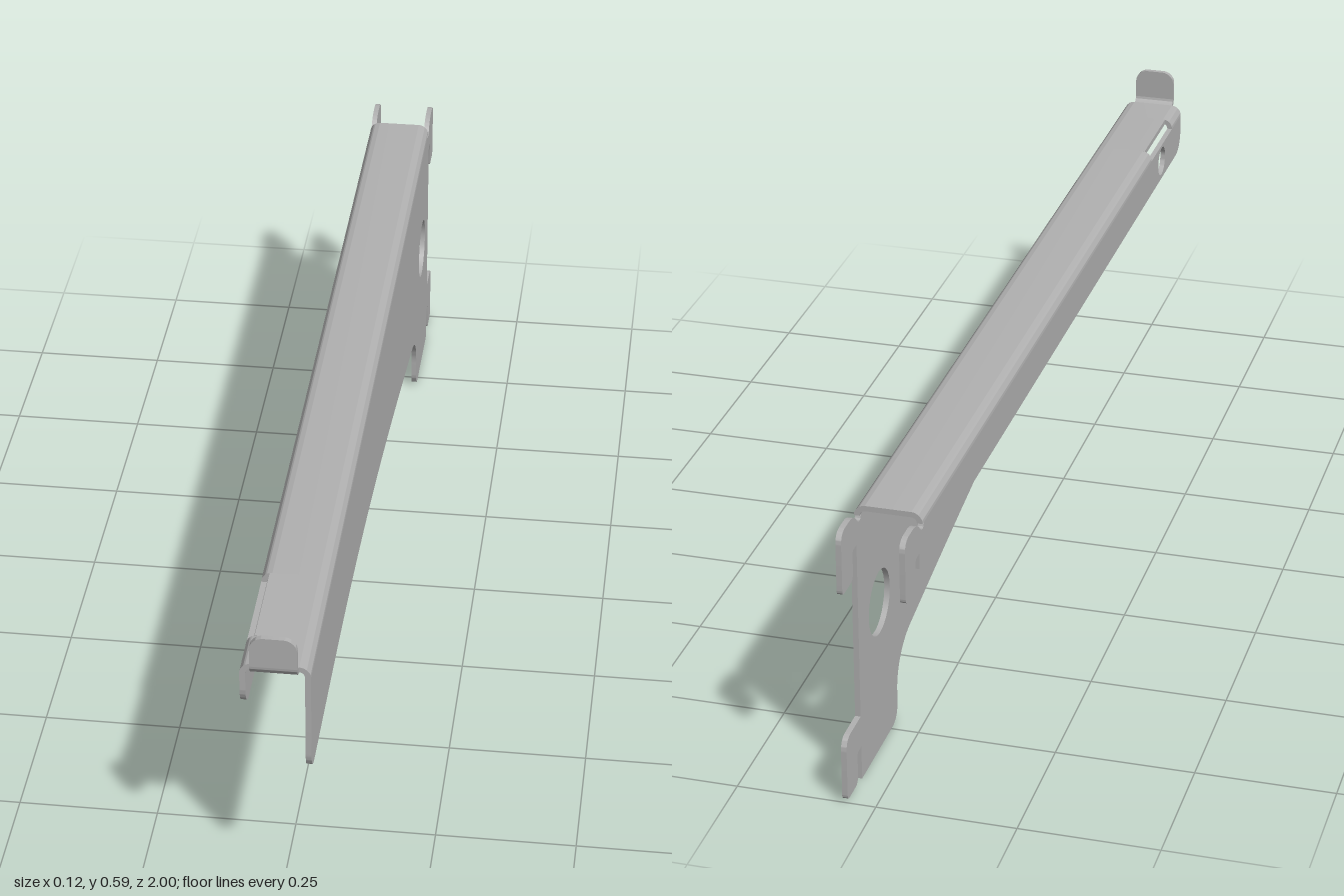
import * as THREE from 'three';
import { toCreasedNormals } from 'three/addons/utils/BufferGeometryUtils.js';

const T = 0.01; // sheet thickness
const steel = new THREE.MeshStandardMaterial({ color: 0xb0b0b0 });
steel.name = 'grey steel';

function extrude(shape, depth) {
  return new THREE.ExtrudeGeometry(shape, { depth, bevelEnabled: false, curveSegments: 16 });
}

function part(name, geometry) {
  const mesh = new THREE.Mesh(toCreasedNormals(geometry, 0.6), steel);
  mesh.name = name;
  return mesh;
}

// Side plates are drawn with horizontal = -z, then turned to face sideways
function sidePlate(name, shape, x) {
  return part(name, extrude(shape, T).rotateY(Math.PI / 2).translate(x, 0, 0));
}

function addHole(shape, u, y, r) {
  const hole = new THREE.Path();
  hole.absarc(u, y, r, 0, Math.PI * 2, true);
  shape.holes.push(hole);
}

// Upper hook, from the underside slot round to the relief notch at the top
function upperHook(s) {
  s.lineTo(0.92, 0.46);
  s.lineTo(0.935, 0.46);
  s.quadraticCurveTo(0.942, 0.46, 0.942, 0.452);
  s.lineTo(0.942, 0.42);
  s.quadraticCurveTo(0.942, 0.405, 0.957, 0.405);
  s.lineTo(0.99, 0.405);
  s.quadraticCurveTo(1, 0.405, 1, 0.415);
  s.lineTo(1, 0.5);
  s.quadraticCurveTo(1, 0.523, 0.975, 0.523);
  s.lineTo(0.958, 0.523);
  s.quadraticCurveTo(0.93, 0.523, 0.914, 0.503);
  s.quadraticCurveTo(0.905, 0.494, 0.895, 0.498);
  s.lineTo(0.892, 0.505);
}

function longPlateShape() {
  const s = new THREE.Shape();
  s.moveTo(-0.98, 0.505);
  s.lineTo(-0.98, 0.345);
  s.quadraticCurveTo(-0.98, 0.307, -0.94, 0.307);
  s.lineTo(-0.7, 0.307);
  // arched lower edge
  s.bezierCurveTo(-0.2, 0.307, 0.2, 0.232, 0.63, 0.147);
  s.bezierCurveTo(0.68, 0.137, 0.712, 0.1, 0.712, 0.06);
  s.lineTo(0.712, 0.035);
  s.quadraticCurveTo(0.712, 0, 0.745, 0);
  s.lineTo(0.92, 0);
  // lower hook
  s.lineTo(0.92, 0.065);
  s.lineTo(0.935, 0.065);
  s.quadraticCurveTo(0.942, 0.065, 0.942, 0.057);
  s.lineTo(0.942, 0.02);
  s.quadraticCurveTo(0.942, 0.005, 0.957, 0.005);
  s.lineTo(0.99, 0.005);
  s.quadraticCurveTo(1, 0.005, 1, 0.015);
  s.lineTo(1, 0.1);
  s.quadraticCurveTo(1, 0.125, 0.975, 0.125);
  s.lineTo(0.92, 0.125);
  upperHook(s);
  addHole(s, 0.803, 0.286, 0.06);
  return s;
}

function shortFlangeShape() {
  const s = new THREE.Shape();
  s.moveTo(-0.98, 0.505);
  s.lineTo(-0.98, 0.47);
  s.absarc(-0.94, 0.47, 0.04, Math.PI, Math.PI * 1.5, false);
  s.lineTo(0.92, 0.43);
  upperHook(s);
  addHole(s, -0.81, 0.469, 0.03);
  return s;
}

// Cross-section of the top: flat web with a rounded fold at each side
function topSection(slotted) {
  const s = new THREE.Shape();
  s.moveTo(0.06, 0.505);
  s.absarc(0.04, 0.505, 0.02, 0, Math.PI / 2, false);
  if (slotted) {
    s.lineTo(-0.045, 0.525);
    s.lineTo(-0.045, 0.515);
  } else {
    s.absarc(-0.04, 0.505, 0.02, Math.PI / 2, Math.PI, false);
    s.lineTo(-0.05, 0.505);
    s.absarc(-0.04, 0.505, 0.01, Math.PI, Math.PI / 2, true);
  }
  s.lineTo(0.04, 0.515);
  s.absarc(0.04, 0.505, 0.01, Math.PI / 2, 0, true);
  return s;
}

function frontTab() {
  const tab = new THREE.Group();
  tab.name = 'frontTab';
  // upward bend
  const b = new THREE.Shape();
  b.moveTo(-0.98, 0.515);
  b.absarc(-0.98, 0.535, 0.02, Math.PI * 1.5, Math.PI, true);
  b.lineTo(-0.99, 0.535);
  b.absarc(-0.98, 0.535, 0.01, Math.PI, Math.PI * 1.5, false);
  tab.add(part('tabBend', extrude(b, 0.08).rotateY(Math.PI / 2).translate(-0.04, 0, 0)));
  // upright with rounded corners
  const p = new THREE.Shape();
  p.moveTo(-0.04, 0.535);
  p.lineTo(0.04, 0.535);
  p.lineTo(0.04, 0.569);
  p.absarc(0.016, 0.569, 0.024, 0, Math.PI / 2, false);
  p.lineTo(-0.016, 0.593);
  p.absarc(-0.016, 0.569, 0.024, Math.PI / 2, Math.PI, false);
  tab.add(part('tabUpright', extrude(p, T).translate(0, 0, 0.99)));
  return tab;
}

export function createModel() {
  const model = new THREE.Group();
  model.name = 'shelfBracket';
  model.add(sidePlate('longSidePlate', longPlateShape(), 0.05));
  model.add(sidePlate('shortSideFlange', shortFlangeShape(), -0.06));

  // top channel in three lengths, the middle one leaving a slot in the fold
  const lengths = [[-0.9, 0.72, false], [0.72, 0.9, true], [0.9, 0.98, false]];
  for (const [z0, z1, slotted] of lengths) {
    model.add(part(slotted ? 'slottedTop' : 'topChannel',
      extrude(topSection(slotted), z1 - z0).translate(0, 0, z0)));
  }
  model.add(frontTab());
  return model;
}
